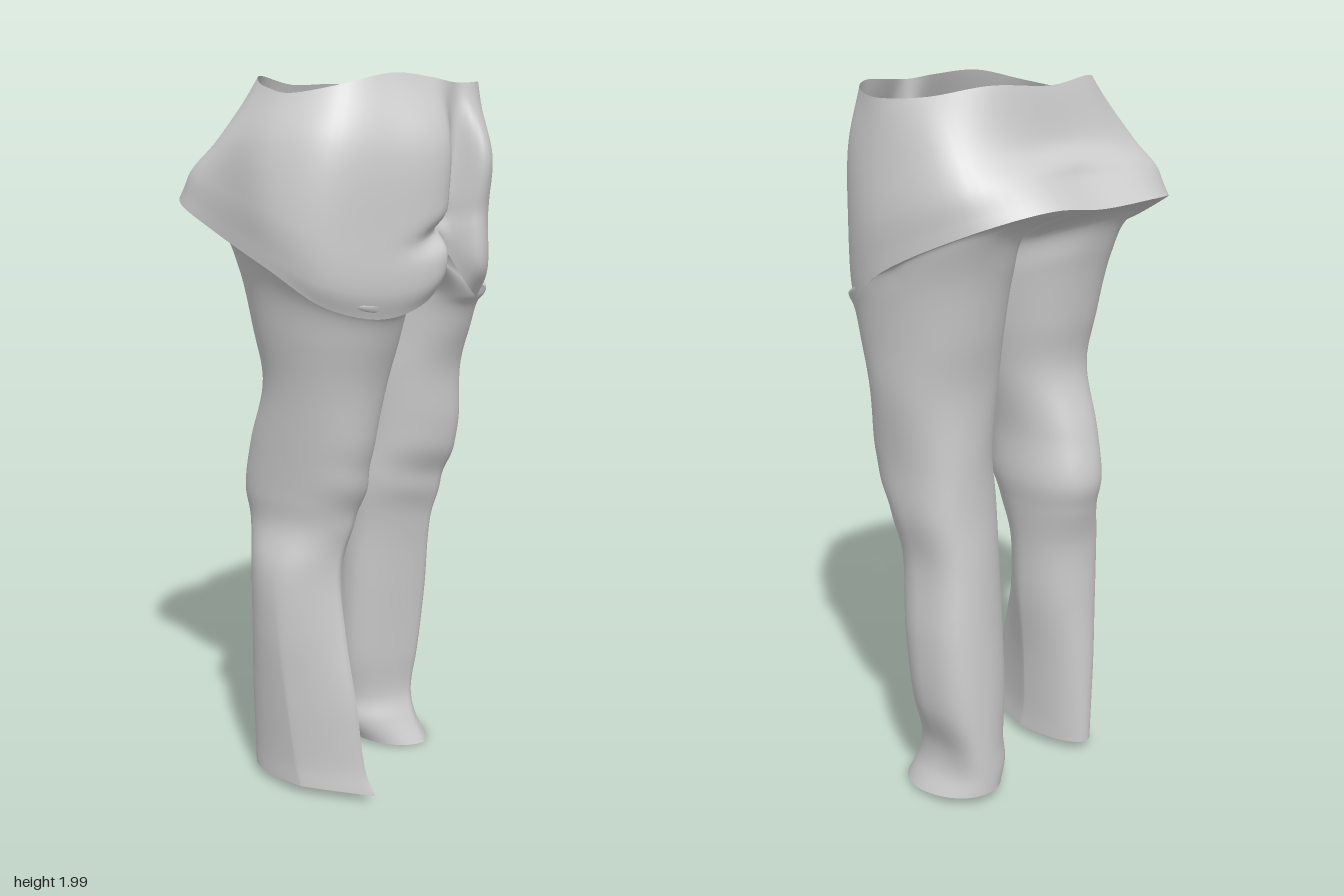
import * as THREE from 'three';

const COLS = 90;
const V = (x, y, z) => new THREE.Vector3(x, y, z);
const material = new THREE.MeshStandardMaterial({ color: 0xcccccc, side: THREE.DoubleSide });

// Closed smooth loop through a few [x, y, z] points, starting at the front and going towards +x
function loop(points) {
  const curve = new THREE.CatmullRomCurve3(points.map(p => V(...p)), true);
  return Array.from({ length: COLS }, (_, i) => curve.getPoint(i / COLS));
}

// Open tube of cloth through a stack of loops, from top to bottom
function loft(name, rings, rows, shape) {
  const pos = [], index = [];
  const columns = Array.from({ length: COLS }, (_, i) =>
    new THREE.CatmullRomCurve3(rings.map(r => r[i])));
  for (let j = 0; j <= rows; j++) {
    for (let i = 0; i < COLS; i++) {
      const p = columns[i].getPoint(j / rows);
      shape(p);
      pos.push(p.x, p.y, p.z);
      if (j === rows) continue;
      const a = j * COLS + i, b = j * COLS + (i + 1) % COLS;
      index.push(a, a + COLS, b, b, a + COLS, b + COLS);
    }
  }
  const geometry = new THREE.BufferGeometry();
  geometry.setAttribute('position', new THREE.Float32BufferAttribute(pos, 3));
  geometry.setIndex(index);
  geometry.computeVertexNormals();
  const mesh = new THREE.Mesh(geometry, material);
  mesh.name = name;
  return mesh;
}

// Hip loops: waist, upper, lower, hem
const waist = loop([
  [.04, 1.98, .302], [.09, 1.98, .306], [.22, 1.985, .27], [.33, 1.97, .17], [.383, 1.955, .04],
  [.335, 1.96, -.09], [.22, 1.985, -.185], [.02, 1.98, -.208], [-.13, 2, -.195], [-.26, 1.98, -.1],
  [-.315, 1.965, -.03], [-.335, 1.95, .05], [-.285, 1.97, .175], [-.16, 2, .245], [-.04, 1.99, .29]]);
const upper = loop([
  [.035, 1.83, .3], [.08, 1.8, .385], [.24, 1.82, .285], [.36, 1.83, .185], [.4, 1.83, .03],
  [.345, 1.83, -.16], [.2, 1.83, -.24], [0, 1.82, -.25], [-.18, 1.83, -.255], [-.33, 1.83, -.19],
  [-.375, 1.83, -.08], [-.395, 1.83, .05], [-.35, 1.83, .19], [-.22, 1.83, .285], [-.07, 1.83, .355]]);
const lower = loop([
  [.02, 1.66, .285], [.075, 1.65, .372], [.22, 1.62, .305], [.37, 1.62, .185], [.422, 1.66, .02],
  [.355, 1.73, -.215], [.19, 1.77, -.3], [0, 1.77, -.3], [-.2, 1.77, -.32], [-.36, 1.75, -.25],
  [-.385, 1.71, -.12], [-.425, 1.66, .06], [-.38, 1.61, .185], [-.22, 1.61, .3], [-.08, 1.63, .357]]);
const hem = loop([
  [.015, 1.57, .275], [.08, 1.45, .335], [.22, 1.405, .28], [.365, 1.42, .175], [.422, 1.53, 0],
  [.345, 1.645, -.25], [.18, 1.695, -.365], [0, 1.685, -.375], [-.2, 1.695, -.387], [-.37, 1.67, -.28],
  [-.378, 1.61, -.17], [-.415, 1.52, .05], [-.355, 1.43, .175], [-.22, 1.395, .275], [-.09, 1.45, .33]]);

// Rounded lower edge, fuller at the front than at the back
const roll = hem.map((p, i) => {
  const w = THREE.MathUtils.clamp(.35 + p.z * 2.2, .3, 1);
  const q = lower[i];
  return V(p.x + (q.x - p.x) * w, p.y + (q.y - p.y) * .3, p.z + (q.z - p.z) * w);
});

// Pinched crease beside the front cleft and a soft fold across the back
function hipFolds(p) {
  if (p.z > .1) {
    p.z -= .04 * Math.exp(-(((p.y - 1.63 - p.x * .3) / .03) ** 2) - ((p.x + .07) / .08) ** 2);
  } else if (p.z < -.15) {
    p.z -= .02 * Math.exp(-(((p.y - 1.8) / .025) ** 2) - ((p.x - .02) / .12) ** 2);
  }
}

// Leg ring rows: [y, tilt, x min, x max, z min, z max, sharpness of the front crease, crease shift]
const rightRings = [
  [1.53, -.42, -.388, .028, -.25, .28, 0, 0], [1.46, -.3, -.356, .03, -.205, .258, 0, 0],
  [1.33, -.1, -.33, .02, -.168, .232, 0, 0], [1.2, 0, -.305, 0, -.145, .2, 0, 0],
  [1.02, 0, -.285, -.03, -.2, .17, 0, 0], [.88, 0, -.272, -.025, -.23, .135, 0, 0],
  [.8, 0, -.268, -.035, -.212, .11, .1, 0], [.68, 0, -.3, -.05, -.185, .09, .3, 0],
  [.5, 0, -.3, -.062, -.185, .115, .6, 0], [.3, 0, -.28, -.09, -.195, .155, .9, 0],
  [.1, 0, -.257, -.105, -.2, .185, .9, 0], [.035, 0, -.255, -.105, -.2, .215, .9, 0]];
const leftRings = [
  [1.53, -.42, .03, .408, -.25, .285, 0, 0], [1.46, -.3, .038, .4, -.205, .26, 0, 0],
  [1.33, -.1, .045, .391, -.168, .235, 0, 0], [1.2, 0, .045, .385, -.14, .205, 0, 0],
  [1, 0, .055, .36, -.135, .2, .1, .03], [.86, 0, .05, .355, -.14, .155, .2, .04],
  [.72, 0, .06, .335, -.155, .12, .3, .045], [.5, 0, .065, .353, -.175, .095, .3, .045],
  [.3, 0, .075, .345, -.19, .075, .3, .04], [.16, 0, .095, .305, -.197, .06, .2, .04],
  [.09, 0, .09, .31, -.2, .08, .2, .03], [.02, -.1, .12, .345, -.2, .12, .2, 0]];

function legRing([y, tilt, x0, x1, z0, z1, sharp, shift]) {
  return Array.from({ length: COLS }, (_, i) => {
    const t = i / COLS * Math.PI * 2;
    const round = v => Math.sign(v) * Math.abs(v) ** .94;
    const s = Math.sin(t);
    let c = round(Math.cos(t));
    if (c > 0) c = THREE.MathUtils.lerp(c, 1 - Math.abs(s), sharp);
    const z = (z0 + z1) / 2 + (z1 - z0) / 2 * c;
    return V((x0 + x1) / 2 + (x1 - x0) / 2 * round(s) + shift * c * c, y + tilt * z, z);
  });
}

// Half of the hem outline, closed by a seam between the legs
function legTop(side) {
  return hem.map(p => {
    const z = THREE.MathUtils.clamp(p.z, -.365, .27);
    const seam = .03 - .05 * Math.max(z, 0);
    return (p.x - seam) * side > 0 ? p : V(seam, 1.6 - .23 * z, z);
  });
}

// Faint slanting wrinkles in front of the knee
function wrinkles(p) {
  const knee = Math.exp(-(((p.y - .88) / .12) ** 2));
  p.z += .004 * knee * Math.sin(p.y * 45 + p.x * 12) * THREE.MathUtils.clamp(p.z * 8, 0, 1);
}

export function createModel() {
  const group = new THREE.Group();
  group.name = 'trousers';
  group.add(loft('hips', [waist, upper, lower, roll, hem], 56, hipFolds));
  group.add(loft('rightLeg', [legTop(-1), ...rightRings.map(legRing)], 100, wrinkles));
  group.add(loft('leftLeg', [legTop(1), ...leftRings.map(legRing)], 100, wrinkles));
  return group;
}
